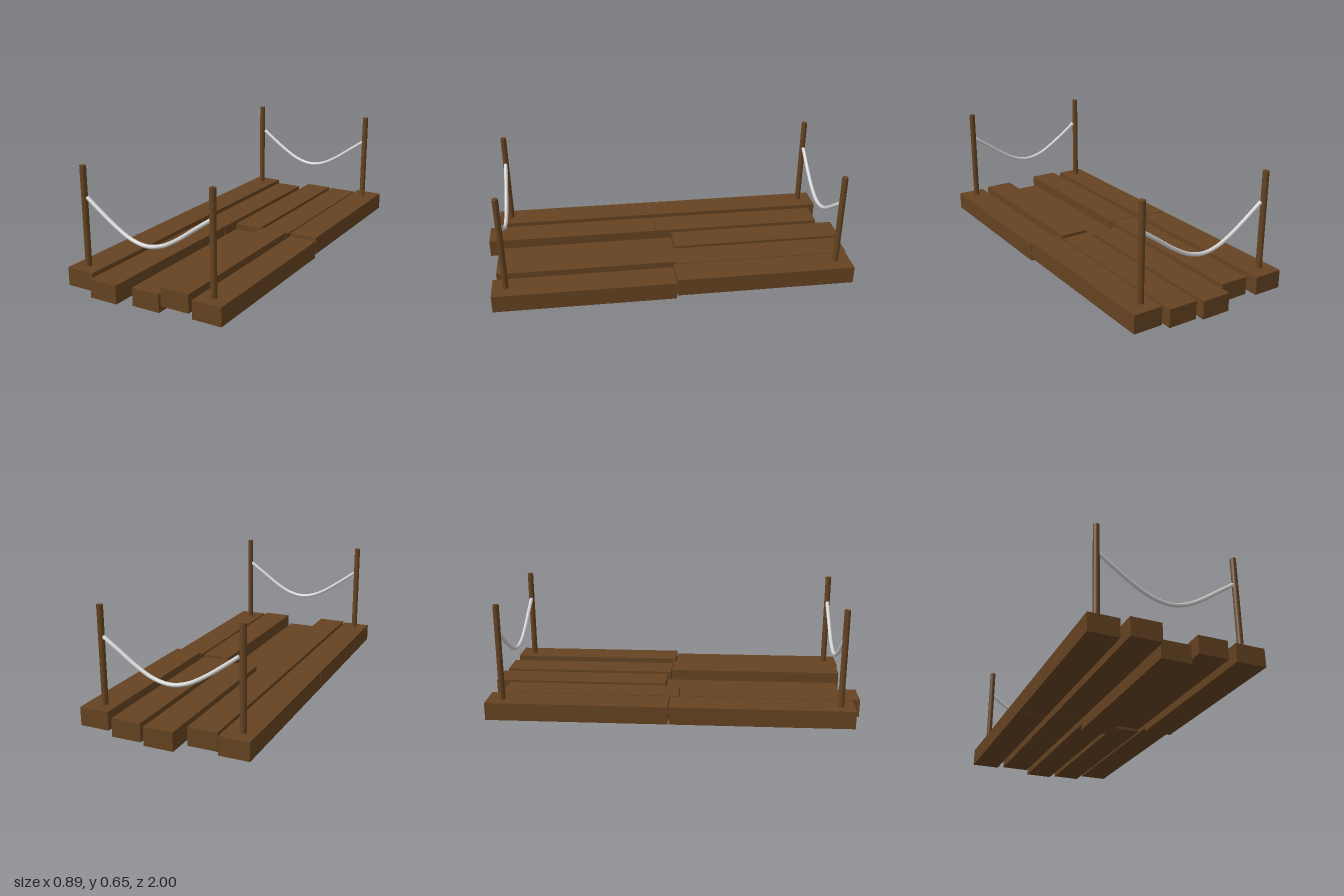
import * as THREE from 'three';

export function createModel() {
  const model = new THREE.Group();
  const wood = new THREE.MeshStandardMaterial({ color: 0x654321 });
  wood.name = 'brown wood';
  const cord = new THREE.MeshStandardMaterial({ color: 0xd3d3d3 });
  cord.name = 'pale rope';

  const add = (name, geometry, material, x = 0, y = 0, z = 0) => {
    const mesh = new THREE.Mesh(geometry, material);
    mesh.name = name;
    mesh.position.set(x, y, z);
    model.add(mesh);
  };

  // Planks: two per column, end to end with a thin gap
  const length = 0.955, thickness = 0.095, gap = 0.005;
  const plank = new THREE.BoxGeometry(0.155, thickness, length);
  const columns = [ // x, seam z, underside of front plank, underside of back plank
    [-0.367, -0.006, 0.041, 0.041],
    [-0.187, 0.04, 0.033, 0.033],
    [-0.002, -0.042, 0, 0.033],
    [0.18, -0.023, 0.049, 0.036],
    [0.366, -0.006, 0.036, 0.054],
  ];
  columns.forEach(([x, seam, front, back], i) => {
    const offset = (length + gap) / 2;
    add(`frontPlank${i + 1}`, plank, wood, x, front + thickness / 2, seam + offset);
    add(`backPlank${i + 1}`, plank, wood, x, back + thickness / 2, seam - offset);
  });

  // A pair of posts with a sagging rope at each end
  const bottom = 0.12, top = 0.648;
  const post = new THREE.CylinderGeometry(0.016, 0.016, top - bottom, 16);
  const ends = [['front', 0.881, -0.373, 0.361], ['back', -0.884, -0.377, 0.354]];
  for (const [end, z, right, left] of ends) {
    add(`${end}RightPost`, post, wood, right, (top + bottom) / 2, z);
    add(`${end}LeftPost`, post, wood, left, (top + bottom) / 2, z);

    const path = new THREE.CatmullRomCurve3([
      [-0.356, 0.491], [-0.275, 0.431], [-0.19, 0.373], [-0.1, 0.325], [-0.01, 0.306],
      [0.08, 0.324], [0.17, 0.372], [0.26, 0.435], [0.35, 0.497],
    ].map(([x, y]) => new THREE.Vector3(x, y, z)));
    add(`${end}Rope`, new THREE.TubeGeometry(path, 40, 0.0105, 10), cord);

    // Rope end caps
    for (const t of [0, 1]) {
      const cap = new THREE.CircleGeometry(0.0105, 10);
      const direction = path.getTangentAt(t).multiplyScalar(t ? 1 : -1);
      cap.applyQuaternion(new THREE.Quaternion().setFromUnitVectors(new THREE.Vector3(0, 0, 1), direction));
      const p = path.getPointAt(t);
      add(`${end}RopeEnd`, cap, cord, p.x, p.y, p.z);
    }
  }
  return model;
}
